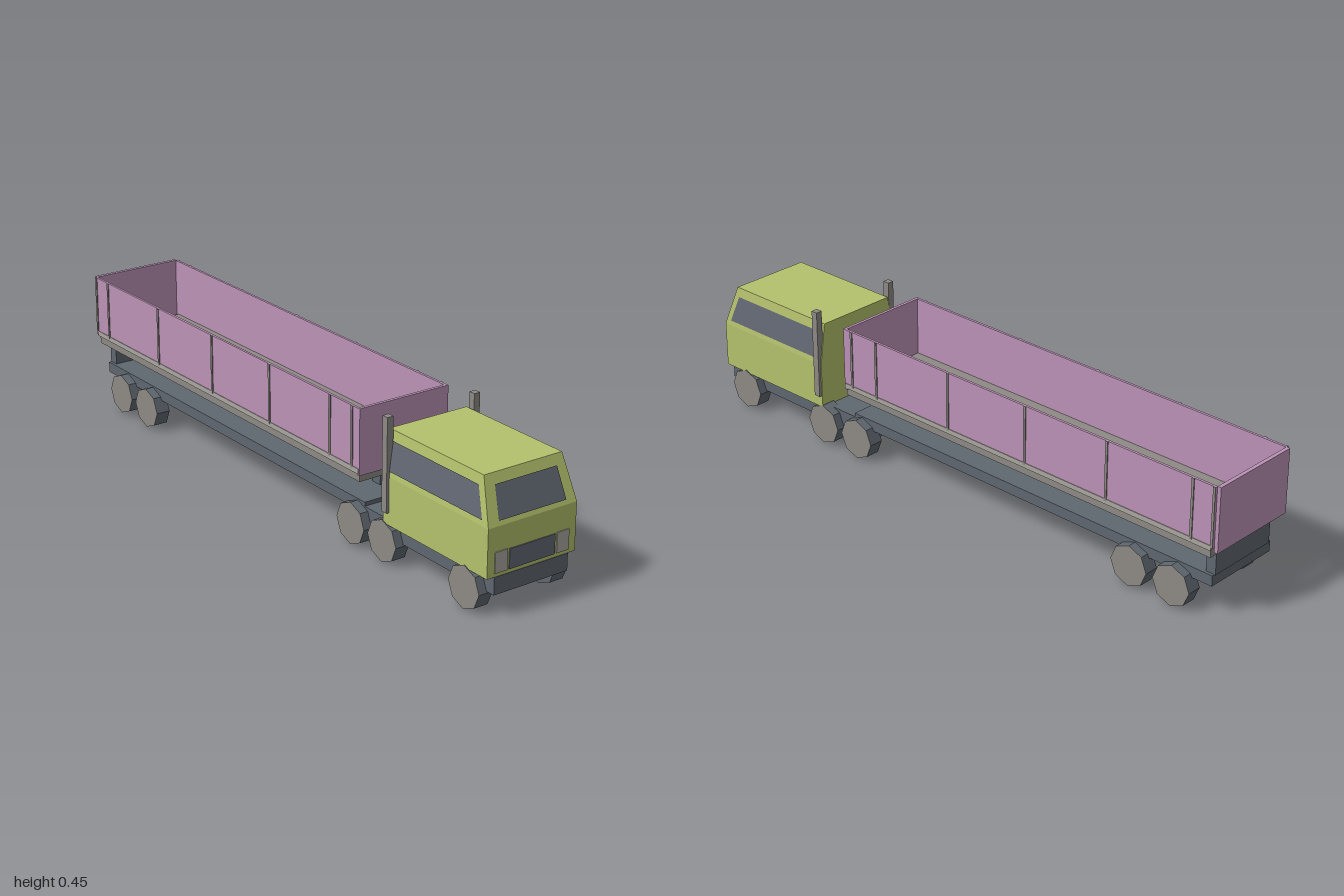
import * as THREE from 'three';
import { ConvexGeometry } from 'three/addons/geometries/ConvexGeometry.js';

function flat(name, color) {
  const m = new THREE.MeshStandardMaterial({ color, flatShading: true });
  m.name = name;
  return m;
}

export function createModel() {
  const truck = new THREE.Group();
  truck.name = 'dumpTruckWithTrailer';
  const green = flat('cabGreen', 0xb4c16c);
  const pink = flat('bedPink', 0xbb92b6);
  const slate = flat('chassisSlate', 0x5f6770);
  const glass = flat('glassSlate', 0x626873);
  const grey = flat('metalGrey', 0x8e8a85);
  const light = flat('lightGrey', 0xaba7a0);

  const add = (name, geometry, material) => {
    const mesh = new THREE.Mesh(geometry, material);
    mesh.name = name;
    truck.add(mesh);
    return mesh;
  };
  // Box given by its low and high limits on each axis
  const box = (name, material, [x0, x1], [y0, y1], [z0, z1]) => {
    const mesh = add(name, new THREE.BoxGeometry(x1 - x0, y1 - y0, z1 - z0), material);
    mesh.position.set((x0 + x1) / 2, (y0 + y1) / 2, (z0 + z1) / 2);
    return mesh;
  };
  // Span mirrored to one side of the truck
  const side = (s, a, b) => (s > 0 ? [a, b] : [-b, -a]);
  // Thin four-cornered panel, corners counterclockwise from outside
  const panel = (name, material, corners) => {
    const g = new THREE.BufferGeometry();
    g.setAttribute('position', new THREE.Float32BufferAttribute(corners.flat(), 3));
    g.setIndex([0, 1, 2, 0, 2, 3]);
    g.computeVertexNormals();
    return add(name, g, material);
  };

  // Cab: upright lower half, upper half tapering to the roof
  const cabPoints = [];
  for (const s of [-1, 1]) {
    for (const [x, y, z] of [
      [0.155, 0.122, 0.997], [0.155, 0.122, 0.548], [0.155, 0.268, 0.997],
      [0.155, 0.268, 0.548], [0.136, 0.402, 0.95], [0.136, 0.402, 0.548],
    ]) cabPoints.push(new THREE.Vector3(s * x, y, z));
  }
  add('cab', new ConvexGeometry(cabPoints), green);

  // Windows lie just outside the sloping faces
  const frontZ = (y) => 1.0 - (y - 0.268) * 0.351;
  const sideX = (y) => 0.1575 - (y - 0.268) * 0.142;
  panel('windshield', glass, [
    [-0.118, 0.282, frontZ(0.282)], [0.118, 0.282, frontZ(0.282)],
    [0.108, 0.373, frontZ(0.373)], [-0.108, 0.373, frontZ(0.373)],
  ]);
  for (const s of [-1, 1]) {
    const corners = [[0.285, 0.97], [0.285, 0.57], [0.373, 0.57], [0.373, 0.938]]
      .map(([y, z]) => [s * sideX(y), y, z]);
    panel('sideWindow', glass, s > 0 ? corners : corners.reverse());
  }

  // Front details
  box('grille', glass, [-0.08, 0.08], [0.133, 0.193], [0.994, 1.0]);
  for (const s of [-1, 1]) {
    box('headlight', light, side(s, 0.087, 0.13), [0.133, 0.195], [0.994, 1.0]);
    box('exhaustStack', grey, side(s, 0.143, 0.164), [0.16, 0.447], [0.551, 0.573]);
  }

  // Chassis and trailer frame
  box('truckChassis', slate, [-0.13, 0.13], [0.069, 0.1215], [0.35, 0.998]);
  box('trailerFrame', slate, [-0.13, 0.13], [0.1, 0.134], [-0.97, 0.43]);
  box('supportBase', slate, [-0.02, 0.02], [0.133, 0.17], [0.321, 0.358]);
  box('supportPost', grey, [-0.01, 0.01], [0.17, 0.207], [0.33, 0.349]);
  box('rearBedSupport', slate, [-0.12, 0.12], [0.133, 0.207], [-0.973, -0.94]);

  // Eight-sided wheels with a grey outer face
  const wheelShape = new THREE.CylinderGeometry(0.065, 0.065, 0.047, 8);
  for (const z of [0.905, 0.545, 0.398, -0.698, -0.85]) {
    for (const s of [-1, 1]) {
      const wheel = add('wheel', wheelShape, [slate, grey, slate]);
      wheel.rotation.z = -s * Math.PI / 2;
      wheel.position.set(s * 0.134, 0.065, z);
    }
  }

  // Open bed
  box('bedFloor', grey, [-0.154, 0.154], [0.205, 0.242], [-0.978, 0.436]);
  for (const s of [-1, 1]) {
    box('bedRail', light, side(s, 0.153, 0.16), [0.23, 0.246], [-0.982, 0.437]);
    box('bedSideWall', pink, side(s, 0.15, 0.158), [0.24, 0.428], [-0.988, 0.437]);
    for (const z of [0.405, 0.3, 0, -0.305, -0.61, -0.912, -0.984]) {
      box('bedPost', grey, side(s, 0.157, 0.161), [0.24, 0.428], [z - 0.004, z + 0.004]);
    }
  }
  box('bedFrontWall', pink, [-0.158, 0.158], [0.225, 0.4285], [0.43, 0.44]);
  box('tailgate', pink, [-0.152, 0.152], [0.225, 0.4285], [-1.0, -0.988]);

  return truck;
}
